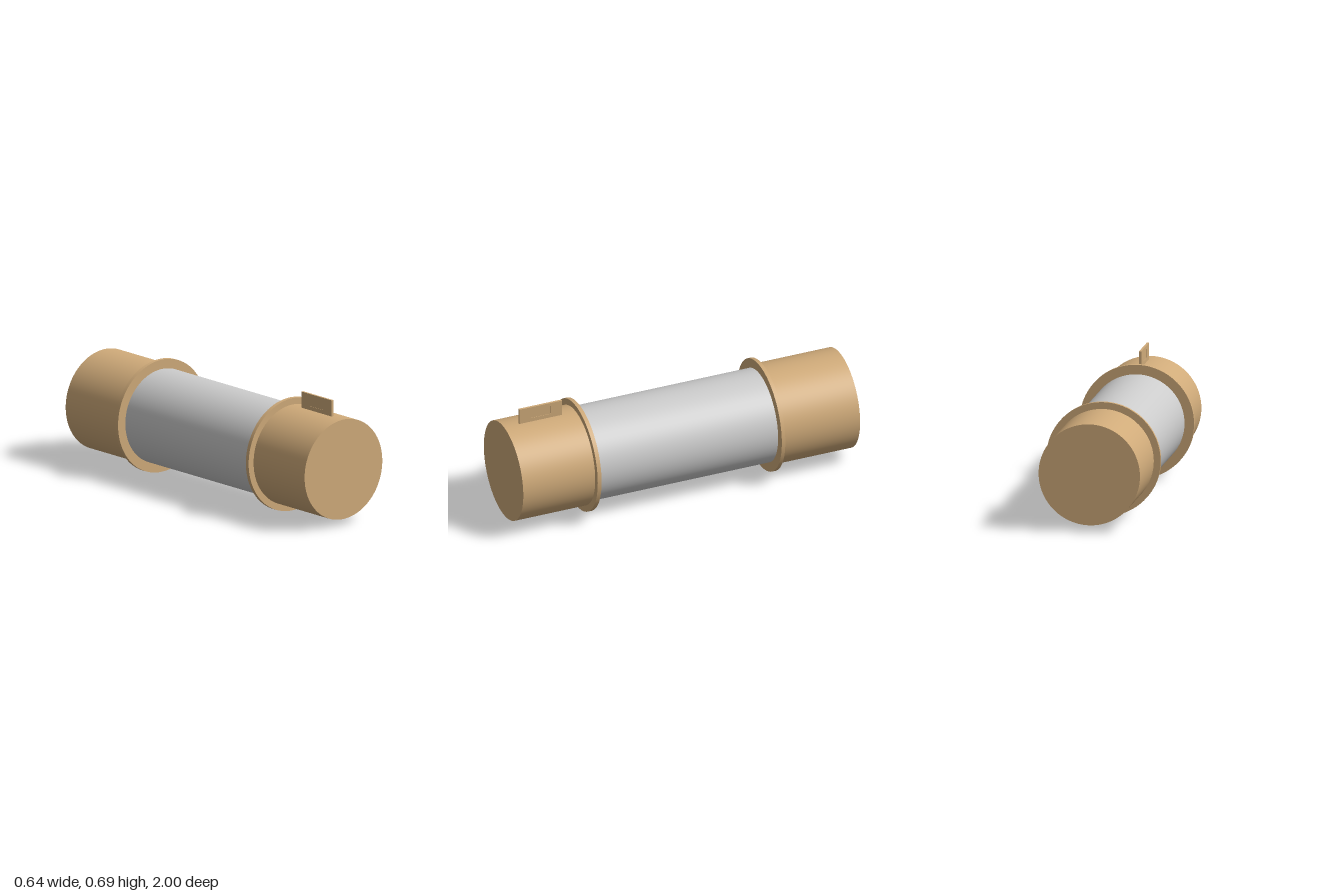
import * as THREE from 'three';

const AXIS_Y = 0.318;

export function createModel() {
  const model = new THREE.Group();
  model.name = 'cartridgeFuse';
  const grey = new THREE.MeshStandardMaterial({ color: 0xcccccc });
  const brass = new THREE.MeshStandardMaterial({ color: 0xd0ab7a });

  // Solid round part lying along z between two depths
  function drum(name, radius, z0, z1, material) {
    const geometry = new THREE.CylinderGeometry(radius, radius, z1 - z0, 96);
    geometry.rotateX(Math.PI / 2);
    const mesh = new THREE.Mesh(geometry, material);
    mesh.name = name;
    mesh.position.set(0, AXIS_Y, (z0 + z1) / 2);
    model.add(mesh);
  }

  drum('tubeBody', 0.265, -0.56, 0.56, grey);
  drum('frontCap', 0.282, 0.565, 1, brass);
  drum('backCap', 0.282, -1, -0.55, brass);
  drum('frontFlange', 0.318, 0.55, 0.573, brass);
  drum('backFlange', 0.318, -0.541, -0.52, brass);

  // Upright index tab: a frame around a slightly recessed panel
  const rect = (path, u0, v0, u1, v1) =>
    path.moveTo(u0, v0).lineTo(u1, v0).lineTo(u1, v1).lineTo(u0, v1).closePath();
  const outline = new THREE.Shape();
  rect(outline, -0.127, 0.595, 0.127, 0.691);
  const opening = new THREE.Path();
  rect(opening, -0.06, 0.622, 0.06, 0.671);
  outline.holes.push(opening);

  const tab = new THREE.Group();
  tab.name = 'indexTab';
  const frameGeometry = new THREE.ExtrudeGeometry(outline, { depth: 0.013, bevelEnabled: false });
  frameGeometry.translate(0, 0, -0.0065);
  frameGeometry.rotateY(Math.PI / 2);
  const frame = new THREE.Mesh(frameGeometry, brass);
  frame.name = 'tabFrame';
  const panel = new THREE.Mesh(new THREE.BoxGeometry(0.009, 0.049, 0.12), brass);
  panel.name = 'tabPanel';
  panel.position.y = 0.6465;
  tab.add(frame, panel);
  tab.position.z = 0.782;
  model.add(tab);

  return model;
}
